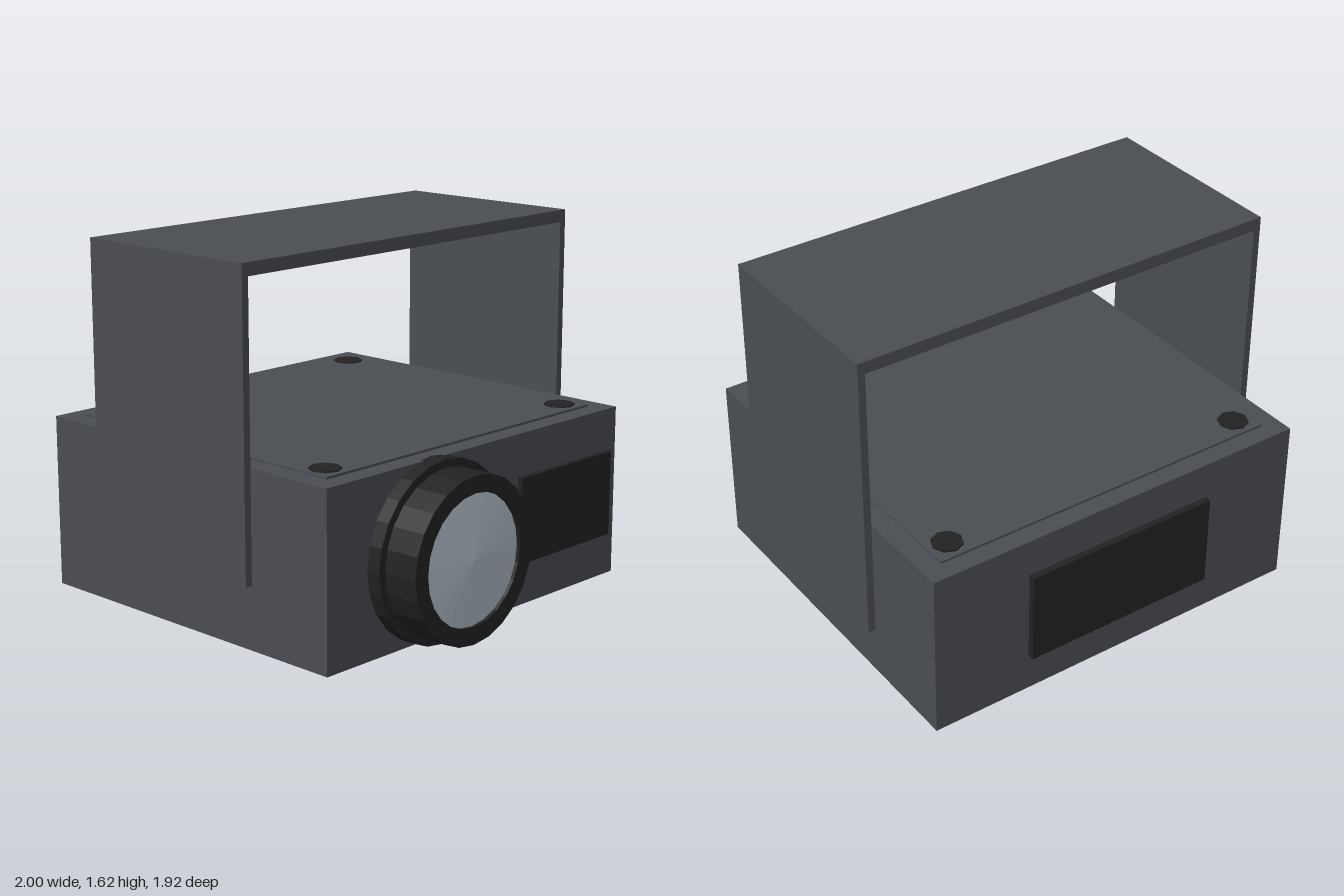
import * as THREE from 'three';

export function createModel() {
  const model = new THREE.Group();
  const mat = (color) => new THREE.MeshStandardMaterial({ color, flatShading: true });
  const grey = mat(0x4a4d52), black = mat(0x222222), glass = mat(0xb4c0ca);

  function add(name, geometry, material, x = 0, y = 0, z = 0) {
    const mesh = new THREE.Mesh(geometry, material);
    mesh.name = name;
    mesh.position.set(x, y, z);
    model.add(mesh);
    return mesh;
  }
  // Box given by its lower and upper corners
  function box(name, material, [x0, y0, z0], [x1, y1, z1]) {
    return add(name, new THREE.BoxGeometry(x1 - x0, y1 - y0, z1 - z0), material,
      (x0 + x1) / 2, (y0 + y1) / 2, (z0 + z1) / 2);
  }

  // Housing with its lid and panels
  box('housing', grey, [-0.92, 0.01, -0.93], [0.92, 0.78, 0.735]);
  box('lid', grey, [-0.83, 0.77, -0.845], [0.83, 0.79, 0.645]);
  box('frontPanel', black, [0.24, 0.205, 0.72], [0.86, 0.59, 0.76]);
  box('rearPanel', black, [-0.46, 0.185, -0.96], [0.46, 0.61, -0.92]);

  // Lid screws
  for (const x of [-0.745, 0.74]) {
    for (const z of [-0.755, 0.555]) {
      add('lidScrew', new THREE.CylinderGeometry(0.068, 0.068, 0.02, 8), black, x, 0.787, z);
    }
  }

  // Lens: flange and barrel turned as one profile, with a shallow front recess
  const profile = [
    [0, 0.72], [0.393, 0.72], [0.393, 0.8], [0.358, 0.8],
    [0.358, 0.96], [0.283, 0.96], [0.283, 0.93], [0, 0.93],
  ].map(([r, h]) => new THREE.Vector2(r, h));
  const barrel = new THREE.LatheGeometry(profile, 24);
  add('lensBarrel', barrel.rotateX(Math.PI / 2), black, -0.3, 0.395, 0);

  // Slightly domed lens glass
  const dome = new THREE.ConeGeometry(0.283, 0.015, 24, 1, true).rotateX(Math.PI / 2);
  add('lensGlass', dome, glass, -0.3, 0.395, 0.951);

  // Mounting yoke: one bent strip extruded along z
  const strip = new THREE.Shape([
    [-1, 0.31], [-0.967, 0.31], [-0.967, 1.565], [0.967, 1.565],
    [0.967, 0.31], [1, 0.31], [1, 1.62], [-1, 1.62],
  ].map(([x, y]) => new THREE.Vector2(x, y)));
  const yoke = new THREE.ExtrudeGeometry(strip, { depth: 0.915, bevelEnabled: false });
  add('yoke', yoke, grey, 0, 0, -0.555);

  // Pivots between yoke and housing
  for (const side of [-1, 1]) {
    const pivot = new THREE.CylinderGeometry(0.056, 0.056, 0.07, 16).rotateZ(Math.PI / 2);
    add('yokePivot', pivot, grey, side * 0.94, 0.395, -0.098);
  }

  return model;
}
